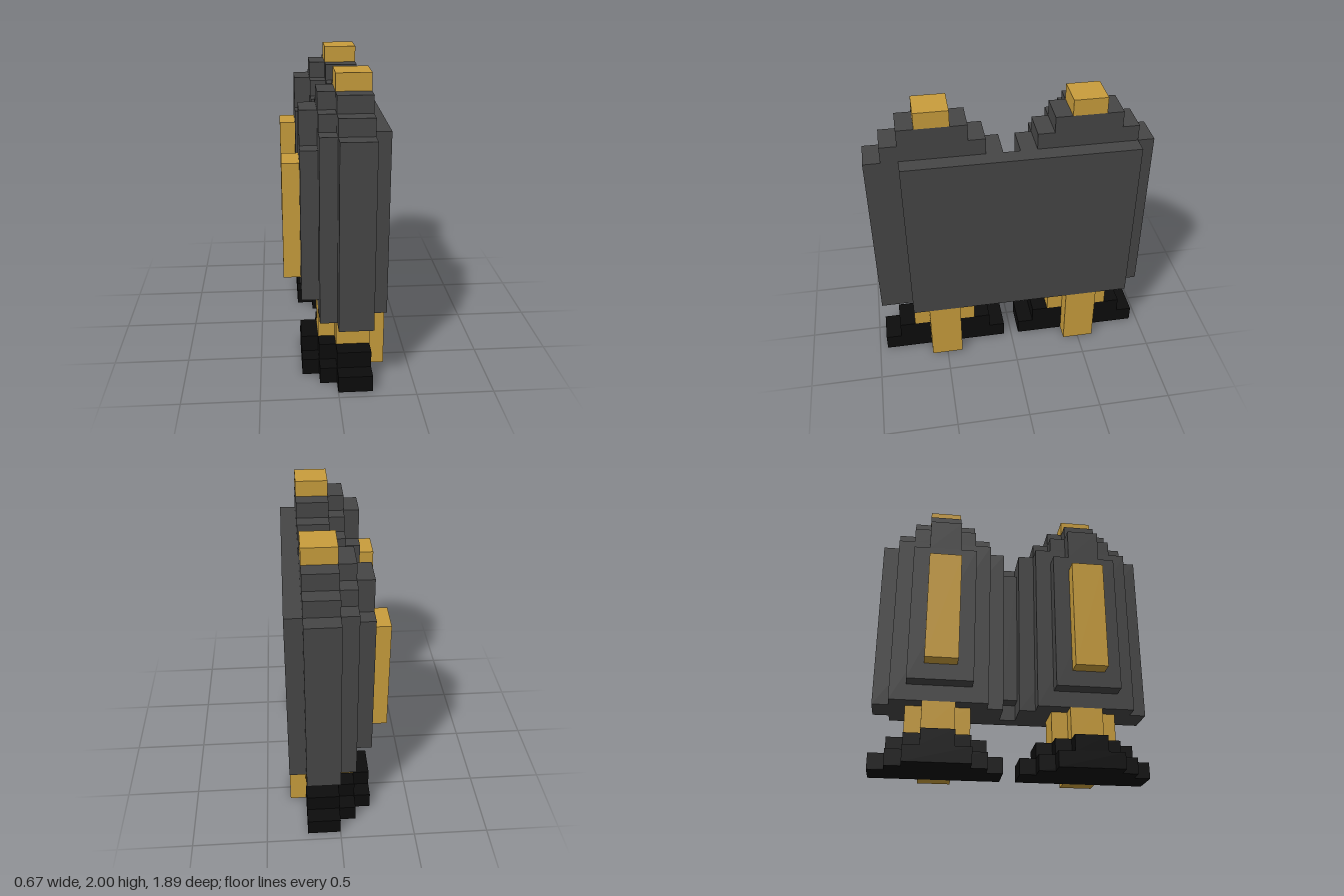
import * as THREE from 'three';
import { mergeGeometries } from 'three/addons/utils/BufferGeometryUtils.js';

const U = 1 / 9; // size of one block

// Box from block-unit bounds
function block(x0, x1, y0, y1, z0, z1) {
  return new THREE.BoxGeometry((x1 - x0) * U, (y1 - y0) * U, (z1 - z0) * U)
    .translate((x0 + x1) * U / 2, (y0 + y1) * U / 2, (z0 + z1) * U / 2);
}

// Slabs [x0, x1, y0, y1, half depth], centred on z = 0
const slabs = (rows) => mergeGeometries(rows.map(([x0, x1, y0, y1, h]) => block(x0, x1, y0, y1, -h, h)));

export function createModel() {
  const mat = (name, color) => new THREE.MeshStandardMaterial({ name, color });
  const grey = mat('dark grey', 0x464646);
  const gold = mat('gold', 0xc89d3c);
  const black = mat('black', 0x0c0c0c);

  const add = (parent, name, geometry, material) => {
    const mesh = new THREE.Mesh(geometry, material);
    mesh.name = name;
    parent.add(mesh);
  };

  const model = new THREE.Group();
  model.name = 'twinTankPack';

  // Stepped tank, thinning away from the back plate
  const tankGeo = slabs([
    [0, 2, 4, 15, 4], [0, 2, 15, 16, 3], [0, 2, 16, 17, 2],
    [-1, 0, 4, 15, 3], [-1, 0, 15, 16, 2], [-1, 0, 16, 17, 1],
    [-2, -1, 5, 14, 2], [-2, -1, 14, 16, 1],
  ]);
  const capGeo = slabs([[0, 2, 17, 18, 1]]);
  const stripGeo = slabs([[-3, -2, 6, 13, 1]]);
  const neckGeo = slabs([[0, 2, 2, 4, 2], [-1, 0, 2, 4, 1]]);
  const strapGeo = slabs([[2, 3, 0, 4, 1]]);
  const nozzleGeo = slabs([
    [0, 2, 0, 1, 4], [-1, 0, 0, 1, 3], [-2, -1, 0, 1, 2],
    [0, 2, 1, 2, 3], [-1, 0, 1, 2, 2], [-2, -1, 1, 2, 1],
  ]);

  // Two identical tanks side by side
  for (const s of [-1, 1]) {
    const unit = new THREE.Group();
    unit.name = s > 0 ? 'frontTank' : 'rearTank';
    unit.position.z = s * 4.5 * U;
    add(unit, 'tank', tankGeo, grey);
    add(unit, 'cap', capGeo, gold);
    add(unit, 'sideStrip', stripGeo, gold);
    add(unit, 'neck', neckGeo, gold);
    add(unit, 'strap', strapGeo, gold);
    add(unit, 'nozzle', nozzleGeo, black);
    model.add(unit);
  }

  // Plate joining the tanks, and the bridge in the gap between them
  add(model, 'backPlate', block(2, 3, 4, 15, -7.5, 6.5), grey);
  add(model, 'bridge', block(1, 2, 5, 14, -0.5, 0.5), grey);

  return model;
}
